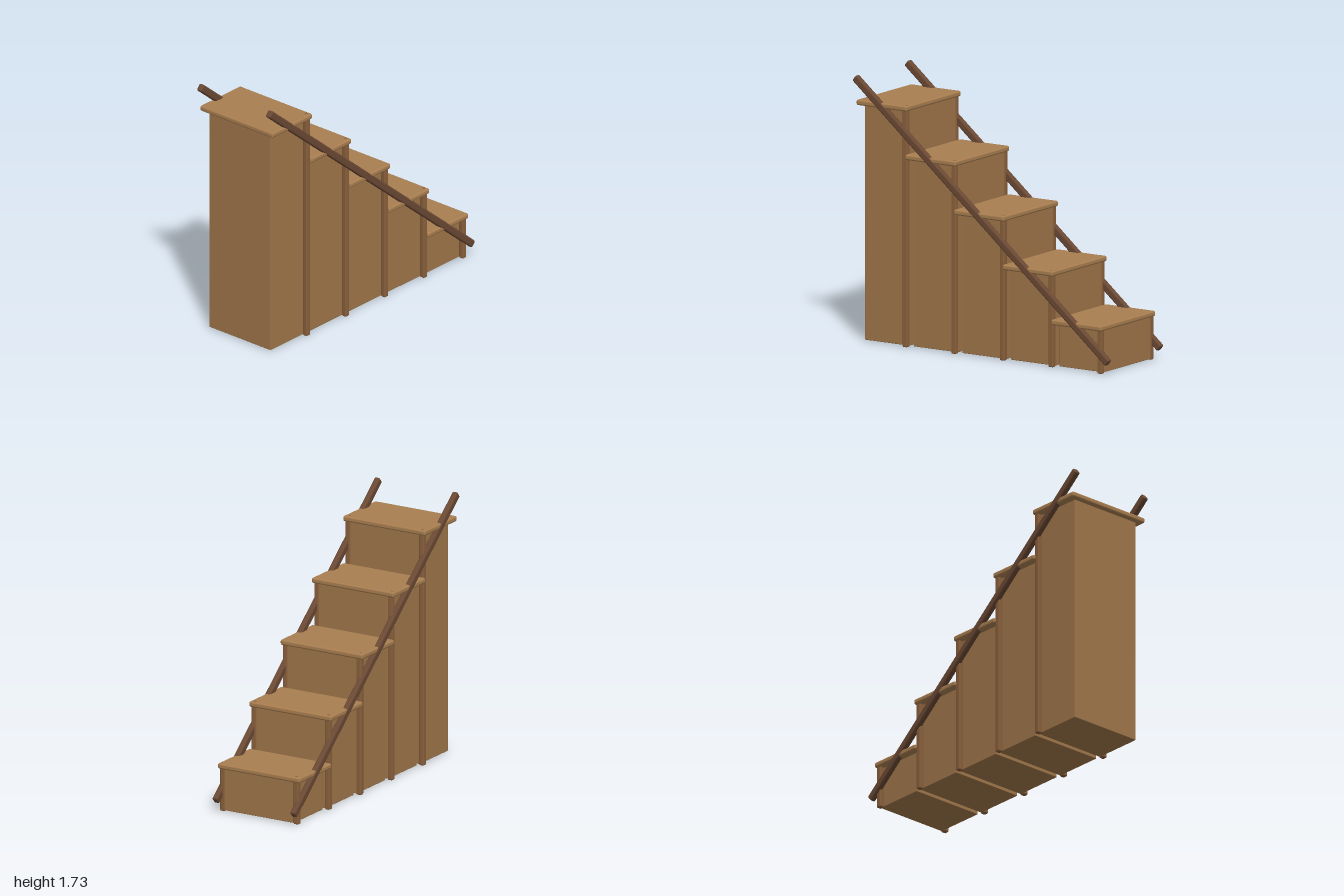
import * as THREE from 'three';
import { RoundedBoxGeometry } from 'three/addons/geometries/RoundedBoxGeometry.js';

const STEPS = 5;
const RUN = 0.3775;   // horizontal distance between steps
const RISE = 0.315;   // height of one step
const TREAD = 0.036;  // tread thickness

const woodLight = new THREE.MeshStandardMaterial({ color: 0xa97e50 });
const woodMid = new THREE.MeshStandardMaterial({ color: 0xa0764a });
const woodPost = new THREE.MeshStandardMaterial({ color: 0x8a603c });
const woodDark = new THREE.MeshStandardMaterial({ color: 0x6b4934 });

// Board with softened edges, placed by its centre
function board(name, material, size, position, bevel) {
  const mesh = new THREE.Mesh(new RoundedBoxGeometry(...size, 2, bevel), material);
  mesh.name = name;
  mesh.position.set(...position);
  return mesh;
}

// One step: solid body, overhanging tread and two front corner posts
function createStep(index) {
  const step = new THREE.Group();
  step.name = `step${index + 1}`;
  const top = RISE * (STEPS - index);
  const bodyTop = top - TREAD / 2;

  step.add(board('stepBody', woodMid, [0.344, bodyTop - 0.006, 0.524], [0, (bodyTop + 0.006) / 2, 0], 0.004));
  step.add(board('tread', woodLight, [0.39, TREAD, 0.62], [-0.013, top - TREAD / 2, 0], 0.012));
  for (const side of [-1, 1]) {
    step.add(board('cornerPost', woodPost, [0.036, top, 0.036], [0.158, top / 2, side * 0.277], 0.008));
  }
  step.position.x = -0.758 + index * RUN;
  return step;
}

export function createModel() {
  const model = new THREE.Group();
  model.name = 'staircase';

  for (let i = 0; i < STEPS; i++) model.add(createStep(i));

  // Sloping rails along both sides
  const start = new THREE.Vector2(-0.982, 1.717);
  const end = new THREE.Vector2(0.982, 0.077);
  const along = end.clone().sub(start);
  for (const side of [-1, 1]) {
    const rail = board('sideRail', woodDark, [along.length(), 0.05, 0.04],
      [(start.x + end.x) / 2, (start.y + end.y) / 2, side * 0.293], 0.012);
    rail.rotation.z = Math.atan2(along.y, along.x);
    model.add(rail);
  }
  return model;
}
